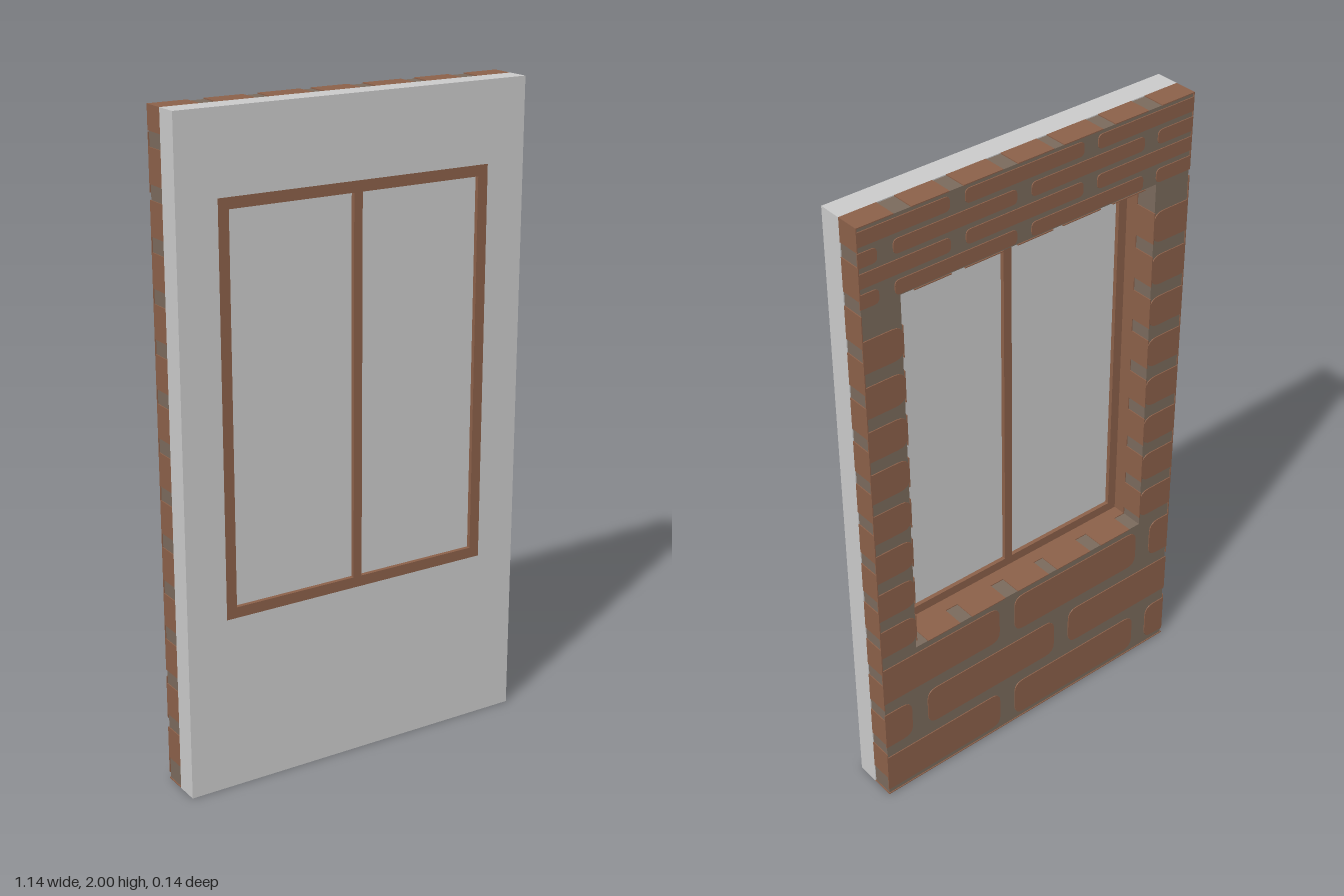
import * as THREE from 'three';

const W = 0.57, H = 2, D = 0.072;          // half width, height, half depth
const OX = 0.44, OY0 = 0.54, OY1 = 1.755;  // window opening
const T = 0.003;                           // thickness of the brick faces

const mat = (name, color) => {
  const m = new THREE.MeshStandardMaterial({ color });
  m.name = name;
  return m;
};

export function createModel() {
  const root = new THREE.Group();
  root.name = 'windowWall';
  const plaster = mat('plaster', 0xcacaca);
  const brick = mat('brickBrown', 0x8b6049);
  const mortar = mat('mortar', 0x7a6a5c);

  const add = (parent, name, geometry, material) => {
    const mesh = new THREE.Mesh(geometry, material);
    mesh.name = name;
    parent.add(mesh);
    return mesh;
  };
  const group = (name) => {
    const g = new THREE.Group();
    g.name = name;
    root.add(g);
    return g;
  };
  // box given by its limits
  const box = (parent, name, material, x0, x1, y0, y1, z0, z1) => {
    const g = new THREE.BoxGeometry(x1 - x0, y1 - y0, z1 - z0);
    g.translate((x0 + x1) / 2, (y0 + y1) / 2, (z0 + z1) / 2);
    return add(parent, name, g, material);
  };
  const trace = (path, x0, x1, y0, y1) =>
    path.moveTo(x0, y0).lineTo(x1, y0).lineTo(x1, y1).lineTo(x0, y1).closePath();
  // slab with a rectangular window opening
  const slab = (name, material, inset, z0, z1) => {
    const s = trace(new THREE.Shape(), -W + inset, W - inset, inset, H - inset);
    s.holes.push(trace(new THREE.Path(), -OX - T, OX + T, OY0 - T, OY1 + T));
    const g = new THREE.ExtrudeGeometry(s, { depth: z1 - z0, bevelEnabled: false });
    g.translate(0, 0, z0);
    add(root, name, g, material);
  };

  slab('plasterLayer', plaster, 0, 0, D);
  slab('mortarCore', mortar, T, -D + T, 0);

  // brick faces on the back; ends that meet an edge of the wall stay square
  const back = group('backBricks');
  const backBrick = (x0, x1, y0, y1, roundLeft, roundRight) => {
    const r = Math.min(0.035, (y1 - y0) * 0.35, (x1 - x0) * 0.45);
    const a = roundLeft ? r : 0, b = roundRight ? r : 0;
    const s = new THREE.Shape();
    s.moveTo(x0 + a, y0).lineTo(x1 - b, y0);
    if (b) s.quadraticCurveTo(x1, y0, x1, y0 + b);
    s.lineTo(x1, y1 - b);
    if (b) s.quadraticCurveTo(x1, y1, x1 - b, y1);
    s.lineTo(x0 + a, y1);
    if (a) s.quadraticCurveTo(x0, y1, x0, y1 - a);
    s.lineTo(x0, y0 + a);
    if (a) s.quadraticCurveTo(x0, y0, x0 + a, y0);
    const g = new THREE.ExtrudeGeometry(s, { depth: T, bevelEnabled: false, curveSegments: 4 });
    g.translate(0, 0, -D);
    add(back, 'backBrick', g, brick);
  };
  const course = (start, length, gap, y0, y1) => {
    for (let x = start; x < W; x += length + gap) {
      const x0 = Math.max(x, -W), x1 = Math.min(x + length, W);
      if (x1 - x0 > 0.01) backBrick(x0, x1, y0, y1, x > -W, x + length < W);
    }
  };
  // long courses below the window, thin ones above it
  for (let i = 0; i < 3; i++)
    course(i % 2 ? -0.65 : -0.99, 0.5, 0.06, i * 0.18 + 0.02, i * 0.18 + 0.155);
  for (let i = 0; i < 4; i++) {
    const y = OY1 + 0.008 + i * 0.06;
    course(i % 2 ? -0.62 : -0.84, 0.4, 0.05, y, y + 0.043);
  }
  // short courses beside the window
  const pitch = 0.143, rise = 0.1;
  for (let y = OY0 + 0.025; y + rise < OY1; y += pitch) {
    backBrick(-W, -OX, y, y + rise, false, true);
    backBrick(OX, W, y, y + rise, true, false);
  }

  // brick ends wrapping round the outer sides and the window reveal
  const ends = group('brickEnds');
  for (let y = 0.07; y < H; y += pitch) {
    const top = Math.min(y + rise, H);
    box(ends, 'sideBrick', brick, W - T, W, y, top, -D, 0);
    box(ends, 'sideBrick', brick, -W, -W + T, y, top, -D, 0);
  }
  for (let y = OY0 + 0.025; y + rise < OY1; y += pitch) {
    box(ends, 'revealBrick', brick, OX, OX + T, y, y + rise, -D, 0);
    box(ends, 'revealBrick', brick, -OX - T, -OX, y, y + rise, -D, 0);
  }
  const topBricks = [[-W, -0.45], [-0.4, -0.28], [-0.235, -0.1], [-0.065, 0.057],
    [0.106, 0.235], [0.28, 0.4], [0.455, W]];
  for (const [x0, x1] of topBricks) {
    box(ends, 'topBrick', brick, x0, x1, H - T, H, -D, 0);
    const a = Math.max(x0, -OX), b = Math.min(x1, OX);
    if (b > a) {
      box(ends, 'sillBrick', brick, a, b, OY0 - T, OY0, -D, 0);
      box(ends, 'lintelBrick', brick, a, b, OY1, OY1 + T, -D, 0);
    }
  }
  box(ends, 'bottomFace', brick, -W, W, 0, T, -D, 0);

  // plain brown lining through the plaster layer
  const lining = group('revealLining');
  for (const s of [-1, 1]) {
    const x = s * (OX + T / 2);
    box(lining, 'liningSide', brick, x - T / 2, x + T / 2, OY0 - T, OY1 + T, 0, D);
  }
  box(lining, 'liningSill', brick, -OX, OX, OY0 - T, OY0, 0, D);
  box(lining, 'liningHead', brick, -OX, OX, OY1, OY1 + T, 0, D);

  // window frame with a centre bar, and two opaque panes
  const frame = group('windowFrame');
  const F = 0.03, z0 = 0.042, z1 = D;
  for (const s of [-1, 1]) {
    const x = s * (OX - F / 2);
    box(frame, 'frameStile', brick, x - F / 2, x + F / 2, OY0, OY1, z0, z1);
    const px = s * 0.212;
    box(frame, 'pane', plaster, px - 0.2, px + 0.2, OY0 + F - 0.005, OY1 - F + 0.005, 0.055, 0.059);
  }
  box(frame, 'frameBottomRail', brick, -OX + F, OX - F, OY0, OY0 + F, z0, z1);
  box(frame, 'frameTopRail', brick, -OX + F, OX - F, OY1 - F, OY1, z0, z1);
  box(frame, 'centreBar', brick, -0.014, 0.014, OY0 + F, OY1 - F, z0, z1);

  return root;
}
